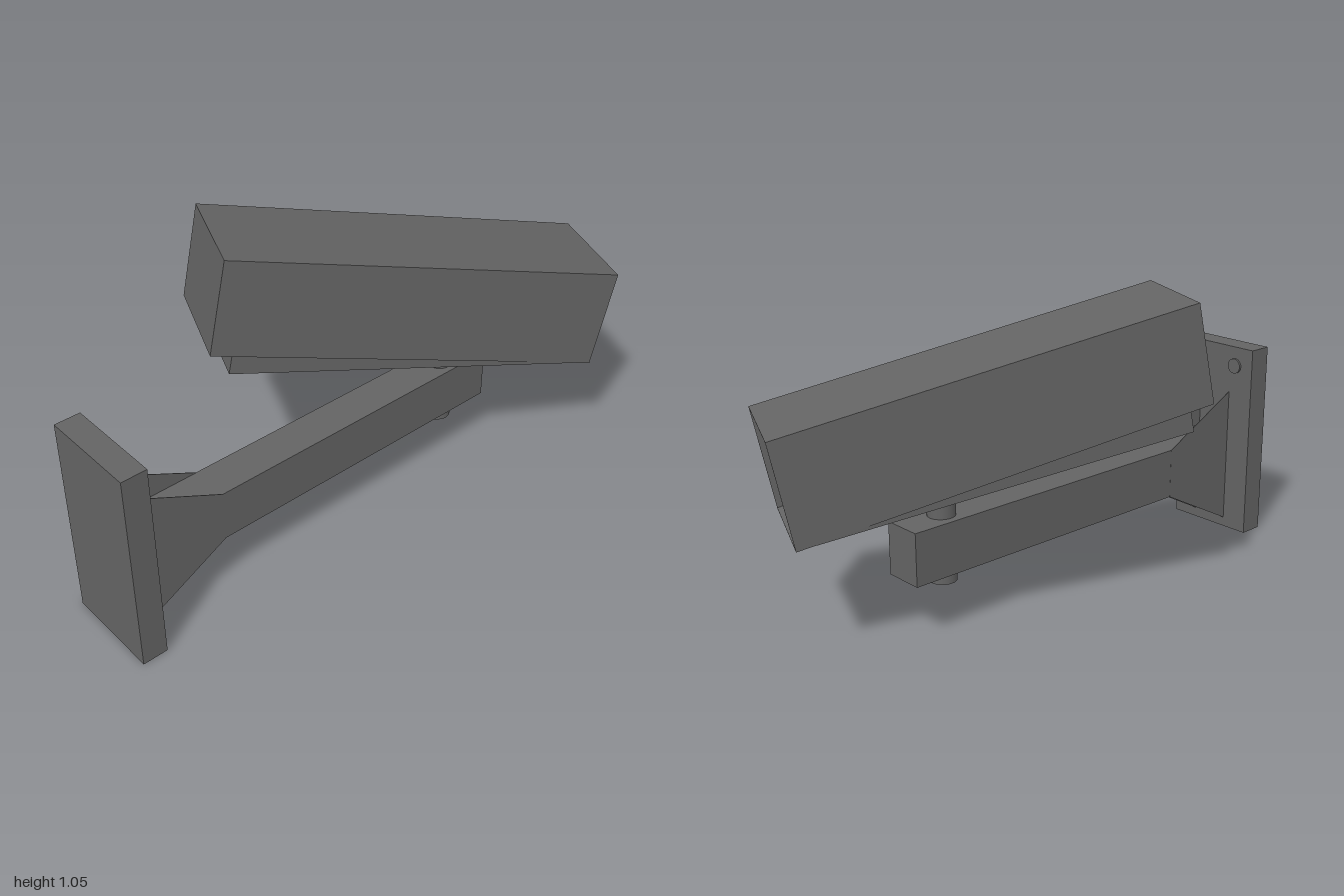
import * as THREE from 'three';

const grey = new THREE.MeshStandardMaterial({ color: 0x636363, flatShading: true });
const smooth = new THREE.MeshStandardMaterial({ color: 0x636363 });

function add(parent, name, geometry, x = 0, y = 0, z = 0, material = grey) {
  const mesh = new THREE.Mesh(geometry, material);
  mesh.name = name;
  mesh.position.set(x, y, z);
  parent.add(mesh);
  return mesh;
}

// Box between two z stations, each given as [z, halfWidth, top, bottom]
function taperedBox(back, front) {
  const g = new THREE.BoxGeometry(2, 2, 2);
  const p = g.attributes.position;
  for (let i = 0; i < p.count; i++) {
    const [z, half, top, bottom] = p.getZ(i) > 0 ? front : back;
    p.setXYZ(i, p.getX(i) * half, p.getY(i) > 0 ? top : bottom, z);
  }
  g.computeVertexNormals();
  return g;
}

function rectangle(target, x0, y0, x1, y1) {
  target.moveTo(x0, y0);
  target.lineTo(x1, y0);
  target.lineTo(x1, y1);
  target.lineTo(x0, y1);
  target.closePath();
  return target;
}

export function createModel() {
  const model = new THREE.Group();
  model.name = 'securityCamera';
  const midZ = 0.053;

  // Wall bracket
  const bracket = new THREE.Group();
  bracket.name = 'bracket';
  model.add(bracket);
  add(bracket, 'wallPlate', new THREE.BoxGeometry(0.088, 0.722, 0.345), -0.956, 0.361, midZ);
  add(bracket, 'arm', new THREE.BoxGeometry(1.487, 0.182, 0.14), -0.1685, 0.2925, midZ);

  // Thin gusset plates, nearly flush with the sides of the arm
  const gusset = new THREE.Shape([
    new THREE.Vector2(-0.912, 0.035), new THREE.Vector2(-0.595, 0.2015),
    new THREE.Vector2(-0.595, 0.3835), new THREE.Vector2(-0.912, 0.545),
  ]);
  const gussetGeometry = new THREE.ExtrudeGeometry(gusset, { depth: 0.002, bevelEnabled: false });
  for (const side of [-1, 1]) {
    add(bracket, side > 0 ? 'frontGusset' : 'backGusset', gussetGeometry, 0, 0, midZ + side * 0.0694 - 0.001);
  }

  // Plate bolts: two above, one below
  const boltGeometry = new THREE.CylinderGeometry(0.028, 0.028, 0.016, 24);
  boltGeometry.rotateZ(-Math.PI / 2);
  for (const [y, dz] of [[0.65, -0.093], [0.65, 0.09], [0.068, 0]]) {
    add(bracket, 'bolt', boltGeometry, -0.912, y, midZ + dz, smooth);
  }

  // Swivel pin through the arm
  add(model, 'swivelPin', new THREE.CylinderGeometry(0.047, 0.047, 0.384, 32), 0.415, 0.35, 0.056, smooth);

  // Camera head, its origin at the top middle of the front rim
  const head = new THREE.Group();
  head.name = 'cameraHead';
  head.position.set(0.924, 0.745, 0.28);
  head.rotation.set(0.222, 1.165, 0, 'YXZ');
  model.add(head);
  const half = 0.189, depth = 0.066;
  add(head, 'housing', taperedBox([-1.386, half, 0, -0.339], [-depth, half, 0, -0.353]));

  // Thin rim around the recessed front
  const rim = rectangle(new THREE.Shape(), -half, -0.354, half, 0);
  rim.holes.push(rectangle(new THREE.Path(), -half + 0.003, -0.351, half - 0.003, -0.003));
  add(head, 'frontRim', new THREE.ExtrudeGeometry(rim, { depth, bevelEnabled: false }), 0, 0, -depth);

  // Wedge-shaped body showing below the housing
  add(head, 'lowerBody', taperedBox([-1.31, 0.174, -0.2, -0.415], [-depth, 0.187, -0.2, -0.356]));

  // The ends of the head lean slightly forward at the bottom
  const lean = new THREE.Matrix4().makeShear(0, 0, 0, -0.035, 0, 0);
  for (const part of head.children) part.geometry.applyMatrix4(lean);

  return model;
}
